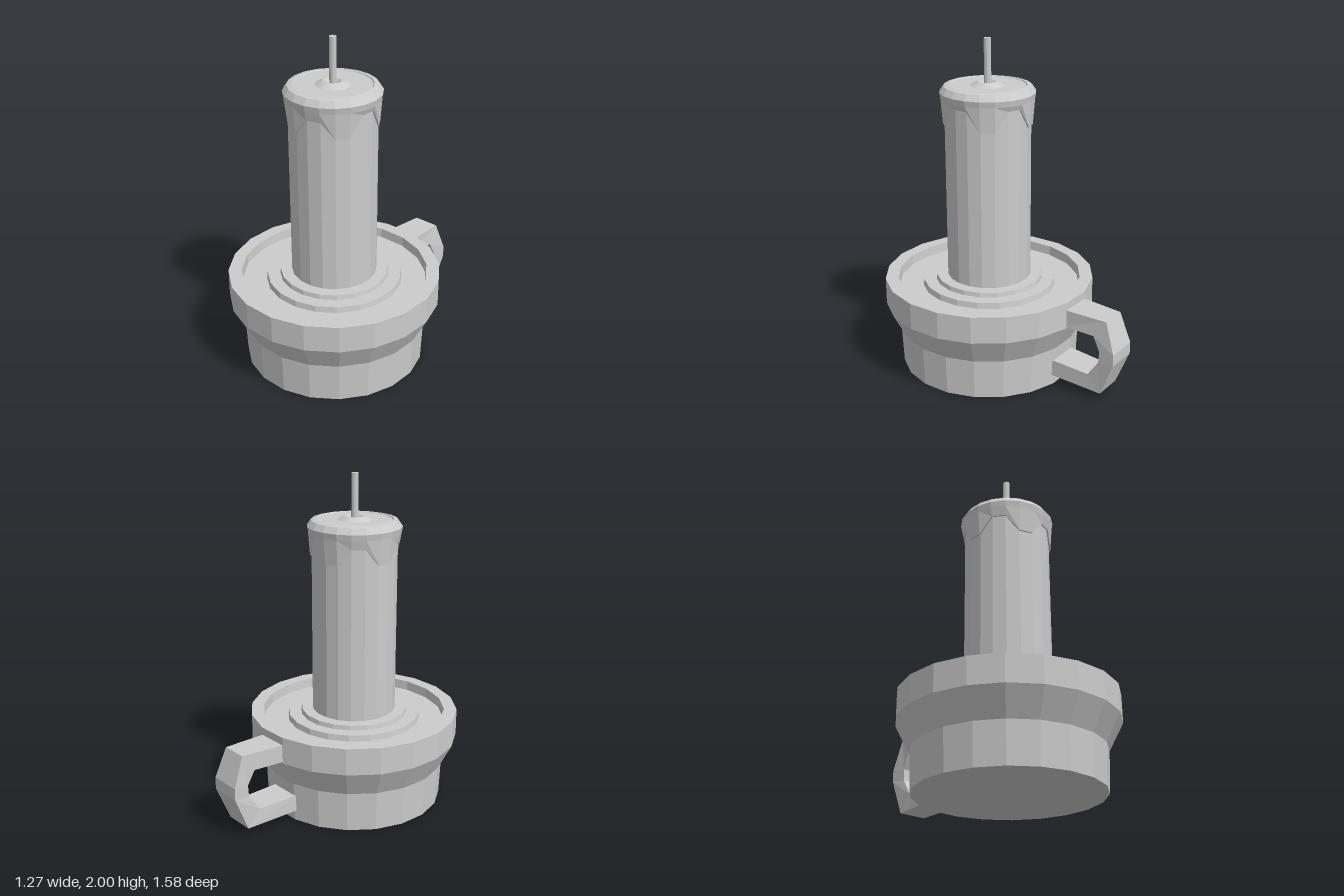
import * as THREE from 'three';

const SIDES = 20;
const AXIS_Z = 0.16;

const material = new THREE.MeshStandardMaterial({ color: 0xcccccc, flatShading: true });

function addMesh(parent, name, geometry) {
  const mesh = new THREE.Mesh(geometry, material);
  mesh.name = name;
  parent.add(mesh);
  return mesh;
}

// Profile is [radius, y] pairs, running from the bottom up.
function lathe(profile, sides = SIDES) {
  return new THREE.LatheGeometry(profile.map(([r, y]) => new THREE.Vector2(r, y)), sides);
}

// Wax cap whose lower hem alternates between hanging drips and gaps; its top has a hollow collar.
function dripCapGeometry() {
  const profile = [
    [0.246, 0], [0.262, 0], [0.274, 1.66], [0.28, 1.695], [0.255, 1.73], [0.228, 1.736], [0.222, 1.728],
    [0.1, 1.728], [0.06, 1.752], [0.045, 1.75], [0.02, 1.725],
  ];
  const geometry = lathe(profile);
  const pos = geometry.attributes.position;
  for (let i = 0; i <= SIDES; i++) {
    const gap = (i % SIDES) >= 4 && (i % SIDES) <= 9 ? 1.63 : 1.605;
    const hem = i % 4 >= 2 ? 1.51 : gap;
    pos.setY(i * profile.length, hem);
    pos.setY(i * profile.length + 1, hem);
  }
  return geometry;
}

// Four-cornered sections: [side shift, inner reach, inner y, outer reach, outer y, inner half width, outer half width].
function handleGeometry() {
  const sections = [
    [0, 0.59, 0.41, 0.59, 0.515, 0.1, 0.1],
    [0.015, 0.81, 0.41, 0.885, 0.515, 0.09, 0.08],
    [0.02, 0.855, 0.325, 0.95, 0.335, 0.09, 0.098],
    [0.02, 0.85, 0.255, 0.95, 0.265, 0.09, 0.098],
    [0.015, 0.78, 0.155, 0.865, 0.055, 0.09, 0.09],
    [0, 0.5, 0.165, 0.5, 0.065, 0.1, 0.1],
  ];
  const positions = [];
  const index = [];
  for (const [x, di, yi, dOut, yo, wi, wo] of sections) {
    positions.push(x - wi, yi, -di, x + wi, yi, -di, x + wo, yo, -dOut, x - wo, yo, -dOut);
  }
  for (let s = 0; s < sections.length - 1; s++) {
    for (let k = 0; k < 4; k++) {
      const a = s * 4 + k, b = s * 4 + (k + 1) % 4;
      index.push(a, b + 4, b, a, a + 4, b + 4);
    }
  }
  const e = (sections.length - 1) * 4;
  index.push(0, 1, 2, 0, 2, 3, e, e + 2, e + 1, e, e + 3, e + 2);
  const geometry = new THREE.BufferGeometry();
  geometry.setAttribute('position', new THREE.Float32BufferAttribute(positions, 3));
  geometry.setIndex(index);
  geometry.computeVertexNormals();
  return geometry;
}

export function createModel() {
  const model = new THREE.Group();
  model.name = 'candleHolder';
  const body = new THREE.Group();
  body.name = 'body';
  body.position.z = AXIS_Z;
  model.add(body);

  // Dish with a raised rim and two steps around the candle
  addMesh(body, 'dish', lathe([
    [0, 0], [0.54, 0], [0.55, 0.24], [0.633, 0.4], [0.633, 0.562], [0.555, 0.562], [0.55, 0.505],
    [0.405, 0.505], [0.4, 0.54], [0.325, 0.54], [0.32, 0.567], [0, 0.567],
  ]));

  // Ring handle at the back, square to one facet of the rim
  addMesh(body, 'handle', handleGeometry()).rotation.y = -Math.PI / SIDES;

  // Candle shaft and melted cap
  addMesh(body, 'candle', lathe([[0.253, 0.55], [0.253, 1.7]]));
  addMesh(body, 'dripCap', dripCapGeometry());

  // Wick
  addMesh(body, 'wick', lathe([[0.021, 1.7], [0.021, 2], [0, 2]], 10));

  return model;
}
